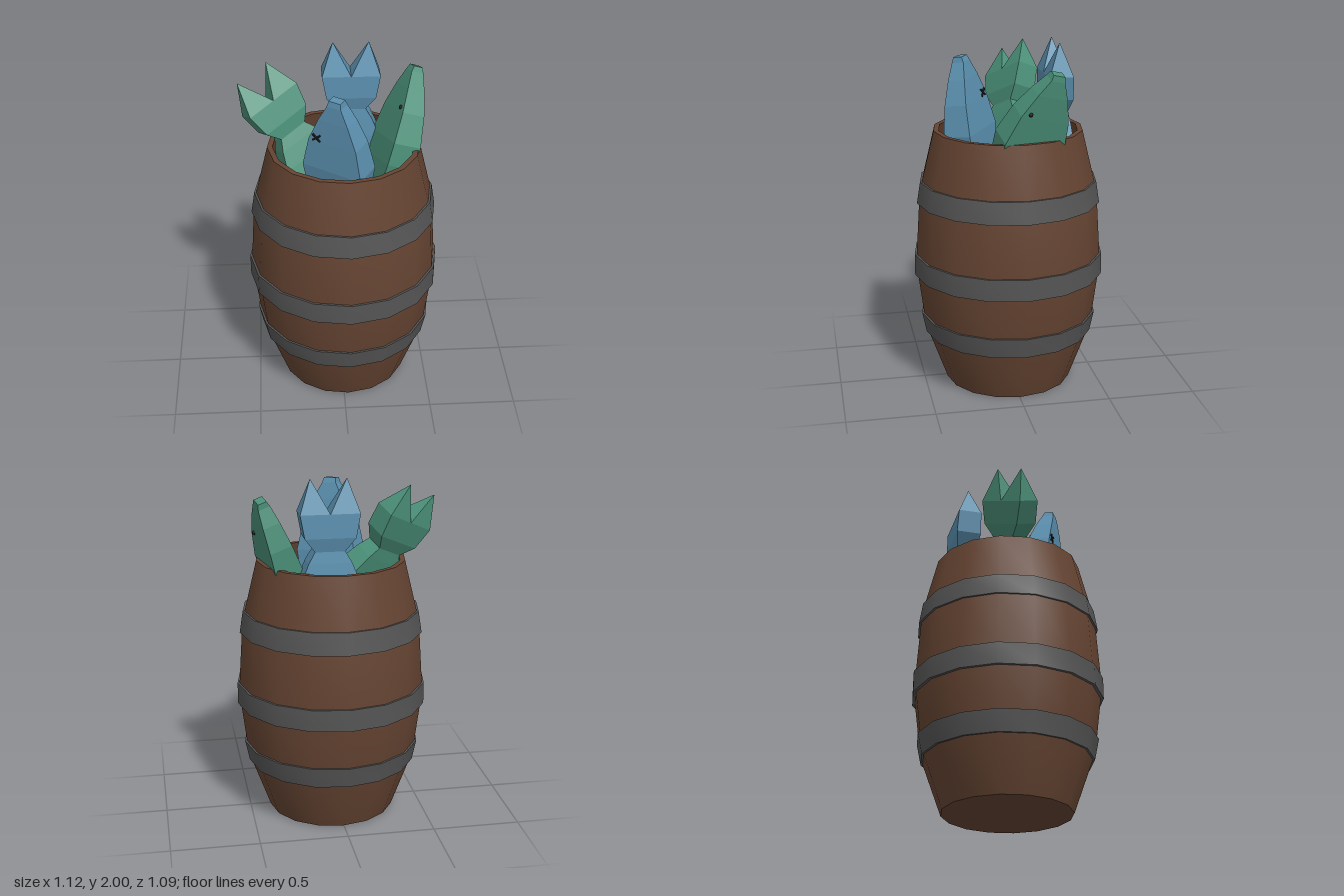
import * as THREE from 'three';
import { toCreasedNormals } from 'three/addons/utils/BufferGeometryUtils.js';

const mat = (color, extra = {}) => {
  const m = new THREE.MeshStandardMaterial({ color });
  return Object.assign(m, extra);
};
const wood = mat(0x654432);
const iron = mat(0x555555);
const blue = mat(0x5a8fae, { flatShading: true });
const green = mat(0x4a8f78, { flatShading: true });
const dark = mat(0x1c1c1c);

function mesh(name, geometry, material) {
  const m = new THREE.Mesh(geometry, material);
  m.name = name;
  return m;
}

// Sixteen-sided turned part with crisp rims
function turned(name, profile, material) {
  const geo = new THREE.LatheGeometry(profile.map(([r, y]) => new THREE.Vector2(r, y)), 16);
  return mesh(name, toCreasedNormals(geo, 0.6), material);
}

// Rectangular sections [s, centreX, width, depth] joined along -y
function loft(sections) {
  const pos = [], idx = [];
  for (const [s, cx, w, d] of sections)
    for (const [a, b] of [[-1, 1], [1, 1], [1, -1], [-1, -1]])
      pos.push(cx + a * w / 2, -s, b * d / 2);
  for (let i = 0; i < sections.length - 1; i++)
    for (let k = 0; k < 4; k++) {
      const a = i * 4 + k, b = i * 4 + (k + 1) % 4;
      idx.push(a, a + 4, b, b, a + 4, b + 4);
    }
  const e = (sections.length - 1) * 4;
  idx.push(0, 1, 2, 0, 2, 3, e, e + 2, e + 1, e, e + 3, e + 2);
  const geo = new THREE.BufferGeometry();
  geo.setAttribute('position', new THREE.Float32BufferAttribute(pos, 3));
  geo.setIndex(idx);
  geo.computeVertexNormals();
  return geo;
}

// Fish with its mouth at the origin and its tail pointing down -y
function fish(name, material, crossEyes) {
  const g = new THREE.Group();
  g.name = name;
  g.add(mesh('body', loft([
    [0, 0, 0.07, 0.05], [0.03, 0, 0.085, 0.07], [0.12, 0, 0.18, 0.1],
    [0.25, 0, 0.29, 0.13], [0.42, 0, 0.36, 0.16], [0.55, 0, 0.32, 0.15],
    [0.65, 0, 0.24, 0.13], [0.72, 0, 0.16, 0.11]]), material));
  for (const side of [-1, 1]) {
    g.add(mesh('tailLobe', loft([
      [0.71, side * 0.04, 0.08, 0.11], [0.79, side * 0.07, 0.14, 0.145],
      [0.92, side * 0.082, 0.164, 0.135], [1.1, side * 0.1, 0.002, 0.002]]), material));
    // Eyes on both flanks
    const eye = new THREE.Group();
    eye.name = 'eye';
    eye.position.set(0.095, -0.23, side * 0.064);
    if (crossEyes) {
      for (const t of [-1, 1]) {
        const bar = mesh('eyeBar', new THREE.BoxGeometry(0.06, 0.01, 0.012), dark);
        bar.rotation.z = t * 0.7;
        eye.add(bar);
      }
    } else {
      eye.add(mesh('eyeBead', new THREE.SphereGeometry(0.012, 8, 6), dark));
    }
    g.add(eye);
  }
  return g;
}

// Put the mouth at a point, with the body axis and width axis given
function place(g, mouth, axis, width) {
  const y = new THREE.Vector3(...axis).normalize();
  const x = new THREE.Vector3(...width);
  x.addScaledVector(y, -x.dot(y)).normalize();
  const z = new THREE.Vector3().crossVectors(x, y);
  g.quaternion.setFromRotationMatrix(new THREE.Matrix4().makeBasis(x, y, z));
  g.position.set(...mouth);
  return g;
}

export function createModel() {
  const model = new THREE.Group();
  model.name = 'barrelOfFish';

  // Hollow barrel
  const barrel = new THREE.Group();
  barrel.name = 'barrel';
  barrel.position.x = 0.015;
  barrel.rotation.y = 0.03;
  barrel.add(turned('staves', [
    [0, 0], [0.367, 0], [0.475, 0.3], [0.5, 0.42], [0.53, 0.66], [0.535, 0.79],
    [0.515, 1.09], [0.495, 1.22], [0.425, 1.505], [0.395, 1.505], [0.465, 1.22],
    [0.485, 1.09], [0.5, 0.72], [0.445, 0.3], [0, 0.3]], wood));

  // Iron hoops: bottom height, bottom radius, top height, top radius
  for (const [y0, r0, y1, r1] of [
    [0.3, 0.487, 0.42, 0.512], [0.66, 0.547, 0.785, 0.547], [1.09, 0.527, 1.215, 0.507]]) {
    barrel.add(turned('hoop', [
      [r0 - 0.03, y0], [r0, y0], [r1, y1], [r1 - 0.03, y1], [r0 - 0.03, y0]], iron));
  }
  model.add(barrel);

  // Two fish with mouths up, two with tails up
  model.add(
    place(fish('frontFish', blue, true), [-0.035, 1.91, 0.26], [-0.03, 0.99, 0.12], [-0.83, 0, -0.55]),
    place(fish('leftFish', green, false), [0.43, 1.88, -0.19], [0.27, 0.91, -0.3], [0.25, 0.25, 0.93]),
    place(fish('backFish', blue, true), [0.07, 0.9, -0.258], [0, -1, 0], [1, 0, 0]),
    place(fish('rightFish', green, false), [0.086, 0.965, 0.04], [0.515, -0.845, 0.147], [0.77, 0.43, -0.48]));
  return model;
}
